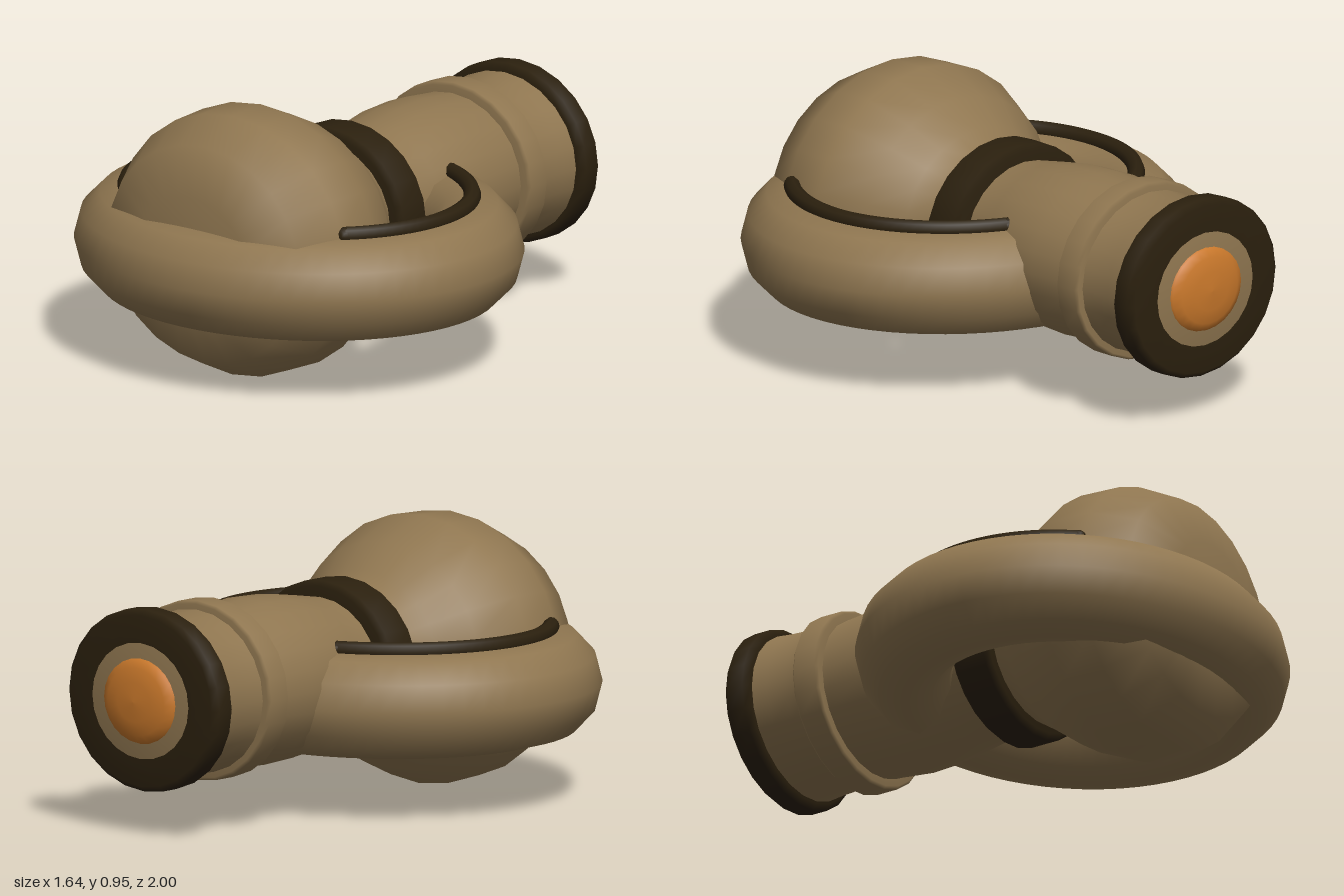
import * as THREE from 'three';

const CY = 0.48;        // height of the body axis
const WIDE = 1.1;       // body is slightly wider than tall
const RING_Z = 0.27, RING_R = 0.63, RING_DEPTH = 0.89;

export function createModel() {
  const group = new THREE.Group();
  const mat = (name, color) => {
    const m = new THREE.MeshStandardMaterial({ color });
    m.name = name;
    return m;
  };
  const tan = mat('tan', 0x8f7650);
  const dark = mat('darkBrown', 0x2b200e);
  const orange = mat('orange', 0xc9782b);

  const add = (name, geometry, material) => {
    const mesh = new THREE.Mesh(geometry, material);
    mesh.name = name;
    group.add(mesh);
    return mesh;
  };

  // Turned part along z: profile of [radius, z] running from back to front
  const turned = (name, profile, material) => {
    const g = new THREE.LatheGeometry(profile.map(([r, z]) => new THREE.Vector2(r, z)), 24);
    g.rotateX(Math.PI / 2).scale(WIDE, 1, 1).translate(0, CY, 0);
    return add(name, g, material);
  };

  // Bulb-shaped head and narrowing neck
  turned('head', [
    [0.25, 0.02], [0.26, 0.12], [0.315, 0.2], [0.4, 0.31], [0.475, 0.48],
    [0.468, 0.64], [0.39, 0.795], [0.22, 0.862], [0, 0.868],
  ], tan);
  turned('neck', [
    [0.28, -0.6], [0.283, -0.55], [0.296, -0.42], [0.29, -0.27], [0.27, -0.15],
    [0.25, -0.04], [0.25, 0.05],
  ], tan);
  turned('rearBarrel', [[0.296, -0.88], [0.288, -0.8], [0.284, -0.72], [0.29, -0.65]], tan);

  // Bevelled bands around the body
  const band = (name, z0, z1, inner, outer, bevel, material) => turned(name, [
    [inner, z0], [outer - bevel, z0], [outer, z0 + bevel],
    [outer, z1 - bevel], [outer - bevel, z1], [inner, z1],
  ], material);
  band('collar', -0.035, 0.12, 0.2, 0.305, 0.018, dark);
  band('barrelBand', -0.675, -0.57, 0.25, 0.317, 0.01, tan);
  band('endRim', -0.96, -0.857, 0.19, 0.322, 0.02, dark);

  // End plate and domed lens
  turned('endPlate', [[0, -0.962], [0.205, -0.962], [0.205, -0.93]], tan);
  turned('lens', [[0, -1], [0.07, -0.996], [0.12, -0.985], [0.148, -0.97], [0.155, -0.95]], orange);

  // Large flat ring around the head and neck
  const place = (g, y) => g.rotateX(Math.PI / 2).scale(1, 1, RING_DEPTH).translate(0, y, RING_Z);
  add('ring', place(new THREE.TorusGeometry(RING_R, 0.19, 12, 64), 0.41), tan);

  // Thin curved trim on top of each side of the ring
  const start = THREE.MathUtils.degToRad(-65), sweep = THREE.MathUtils.degToRad(104);
  for (const [side, from] of [['left', start], ['right', Math.PI - start - sweep]]) {
    const arc = new THREE.TorusGeometry(RING_R, 0.032, 8, 32, sweep).rotateZ(from);
    add(side + 'Trim', place(arc, 0.6), dark);
    for (const a of [from, from + sweep]) {
      const tip = new THREE.SphereGeometry(0.032, 10, 8);
      tip.translate(RING_R * Math.cos(a), RING_R * Math.sin(a), 0);
      add(side + 'TrimTip', place(tip, 0.6), dark);
    }
  }
  return group;
}
